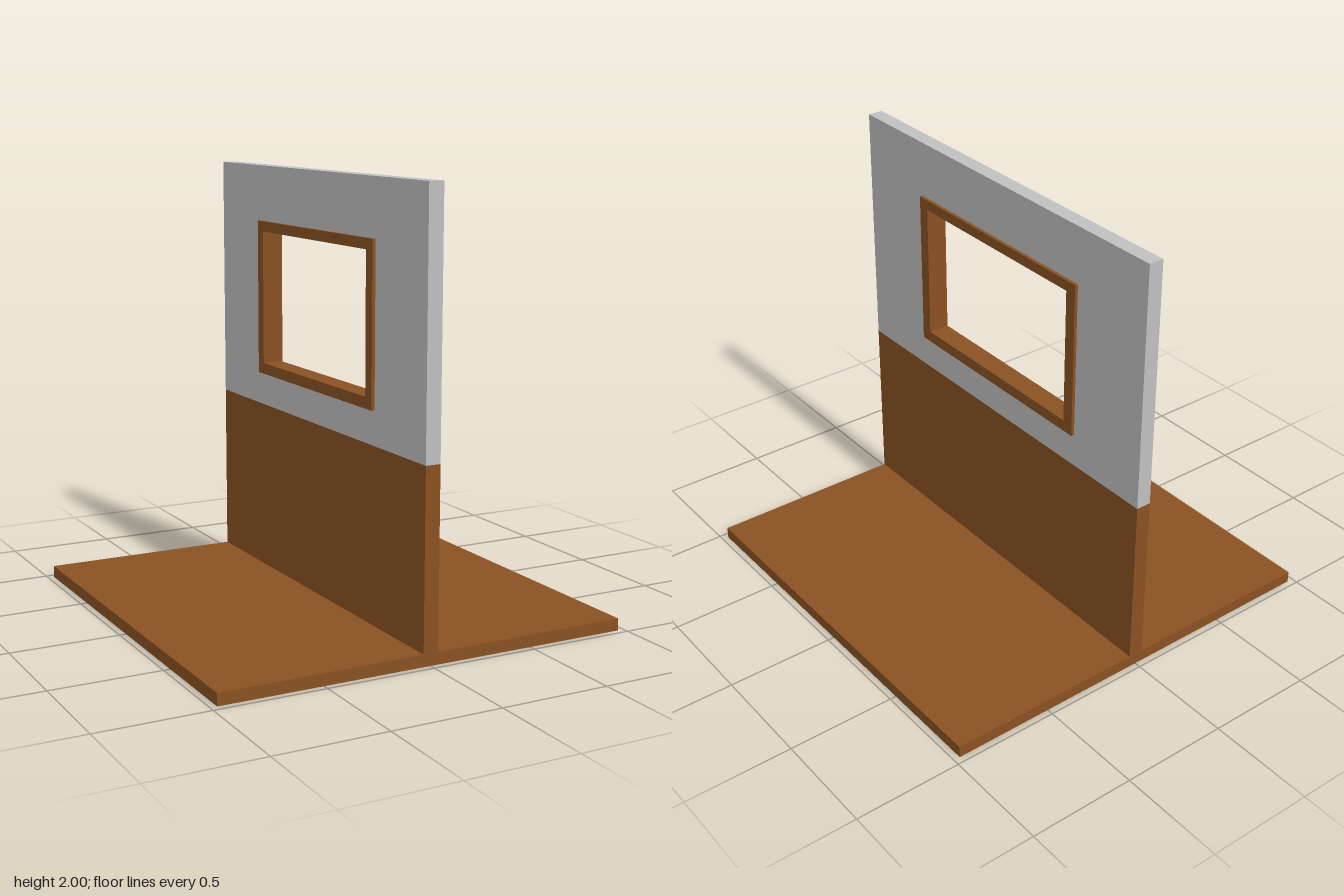
import * as THREE from 'three';

const brown = new THREE.MeshStandardMaterial({ color: 0x8a5122 });
brown.name = 'brown wood';
const grey = new THREE.MeshStandardMaterial({ color: 0xc0c0c0 });
grey.name = 'light grey plaster';

const SIDE = 0.97; // half width of floor and wall
const FLOOR = 0.055; // floor thickness
const SPLIT = 0.855; // height where the panelling ends
const WALL = 0.07; // wall thickness

// Rectangle outline spanning -half..half and y0..y1
function rect(half, y0, y1, Type = THREE.Shape) {
  const r = new Type();
  r.moveTo(-half, y0);
  r.lineTo(half, y0);
  r.lineTo(half, y1);
  r.lineTo(-half, y1);
  r.closePath();
  return r;
}

// Rectangular slab with a rectangular hole, standing in the YZ plane
function slabWithHole(name, outer, hole, depth, material) {
  const shape = rect(...outer);
  shape.holes.push(rect(...hole, THREE.Path));
  const geometry = new THREE.ExtrudeGeometry(shape, { depth, bevelEnabled: false });
  geometry.translate(0, 0, -depth / 2);
  geometry.rotateY(Math.PI / 2);
  const mesh = new THREE.Mesh(geometry, material);
  mesh.name = name;
  return mesh;
}

function box(name, w, y0, y1, d, material) {
  const mesh = new THREE.Mesh(new THREE.BoxGeometry(w, y1 - y0, d), material);
  mesh.position.y = (y0 + y1) / 2;
  mesh.name = name;
  return mesh;
}

export function createModel() {
  const model = new THREE.Group();
  model.name = 'wallWithWindow';
  const frameOuter = [0.55, 1.01, 1.74];
  const frameInner = [0.495, 1.062, 1.692];

  model.add(
    // Floor and wood-coloured lower wall
    box('floor', SIDE * 2, 0, FLOOR, SIDE * 2, brown),
    box('lowerWall', WALL, FLOOR, SPLIT, SIDE * 2, brown),
    // Upper wall, cut out for the window
    slabWithHole('upperWall', [SIDE, SPLIT, 2], frameOuter, WALL, grey),
    // Frame lines the opening and stands proud on both faces
    slabWithHole('windowFrame', frameOuter, frameInner, 0.1, brown),
  );
  return model;
}
